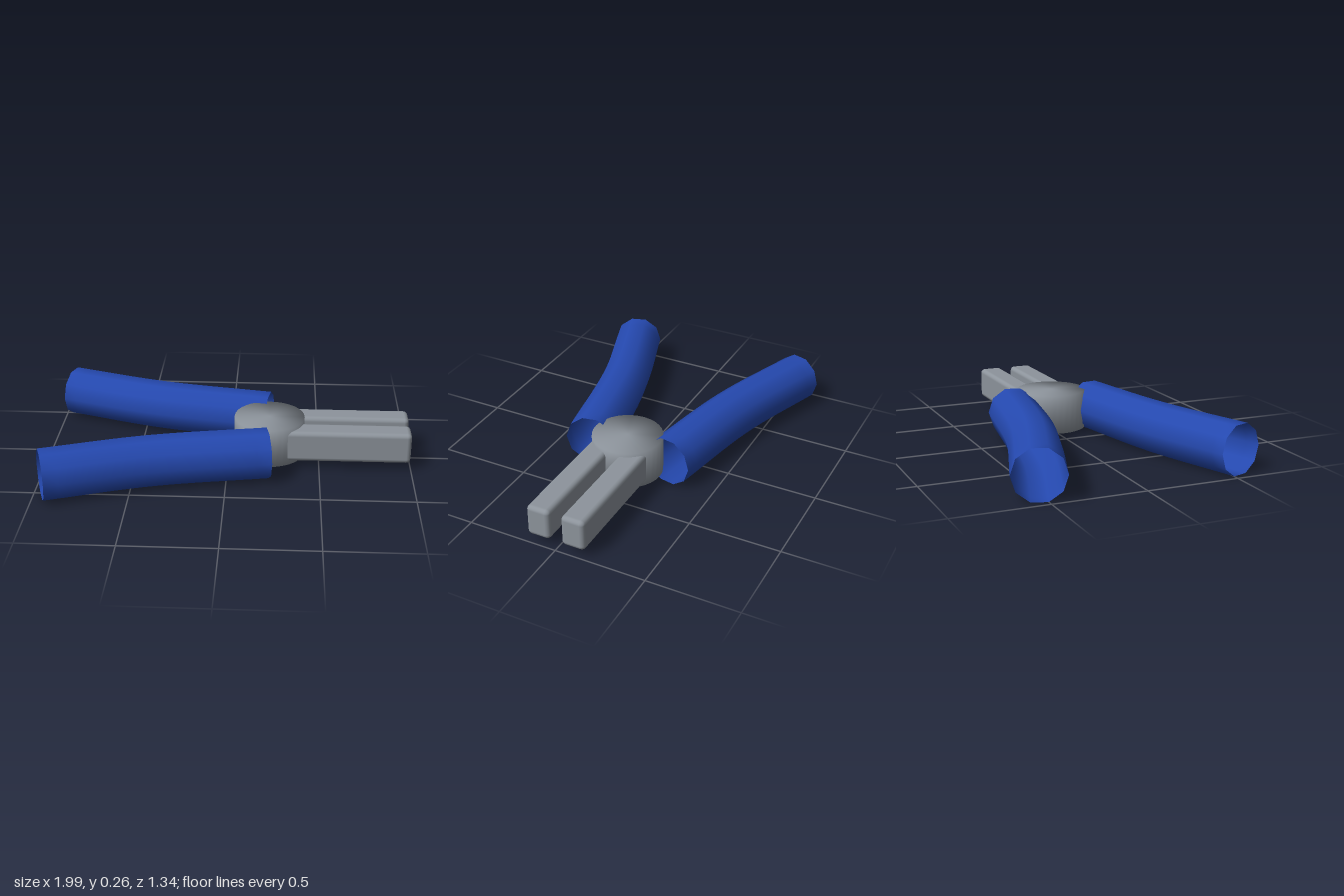
import * as THREE from 'three';
import { mergeVertices } from 'three/addons/utils/BufferGeometryUtils.js';
import { RoundedBoxGeometry } from 'three/addons/geometries/RoundedBoxGeometry.js';

const MID = 0.131; // height of the tool's centre plane

// Share all vertices so the shading runs smoothly over every edge
function smooth(geometry) {
  geometry.deleteAttribute('uv');
  geometry.deleteAttribute('normal');
  const merged = mergeVertices(geometry, 1e-4);
  merged.computeVertexNormals();
  return merged;
}

// Open ten-sided sleeve bent along the handle curve; side is +1 or -1 in z
function handleGeometry(side) {
  const curve = new THREE.CatmullRomCurve3([
    new THREE.Vector3(0.22, MID, 0.235 * side),
    new THREE.Vector3(-0.4, MID, 0.357 * side),
    new THREE.Vector3(-0.953, MID, 0.541 * side),
  ]);
  const geometry = new THREE.CylinderGeometry(0.138, 0.138, 1, 10, 16, true);
  const pos = geometry.attributes.position;
  for (let i = 0; i < pos.count; i++) {
    const t = THREE.MathUtils.clamp(0.5 + pos.getY(i) * side, 0, 1);
    const p = curve.getPointAt(t);
    const d = curve.getTangentAt(t);
    const out = new THREE.Vector3(d.z, 0, -d.x).multiplyScalar(side);
    // local x becomes up, local z becomes the outward normal
    p.addScaledVector(out, pos.getZ(i));
    pos.setXYZ(i, p.x, p.y + pos.getX(i), p.z);
  }
  return smooth(geometry);
}

export function createModel() {
  const group = new THREE.Group();
  group.name = 'pliers';

  const steel = new THREE.MeshStandardMaterial({ color: 0x8d949c });
  steel.name = 'steel grey';
  const grip = new THREE.MeshStandardMaterial({ color: 0x2549b0, side: THREE.DoubleSide });
  grip.name = 'grip blue';

  const add = (name, geometry, material, x = 0, y = 0, z = 0) => {
    const mesh = new THREE.Mesh(geometry, material);
    mesh.name = name;
    mesh.position.set(x, y, z);
    group.add(mesh);
  };

  // Round pivot joint
  add('pivot', smooth(new THREE.CylinderGeometry(0.193, 0.193, 0.215, 32)), steel, 0.225, MID, 0);

  // Mirrored jaws and handle sleeves
  for (const side of [1, -1]) {
    const label = side > 0 ? 'front' : 'back';
    add(label + 'Jaw', new RoundedBoxGeometry(0.775, 0.175, 0.131, 2, 0.025), steel, 0.608, MID, 0.098 * side);
    add(label + 'Handle', handleGeometry(side), grip);
  }
  return group;
}
